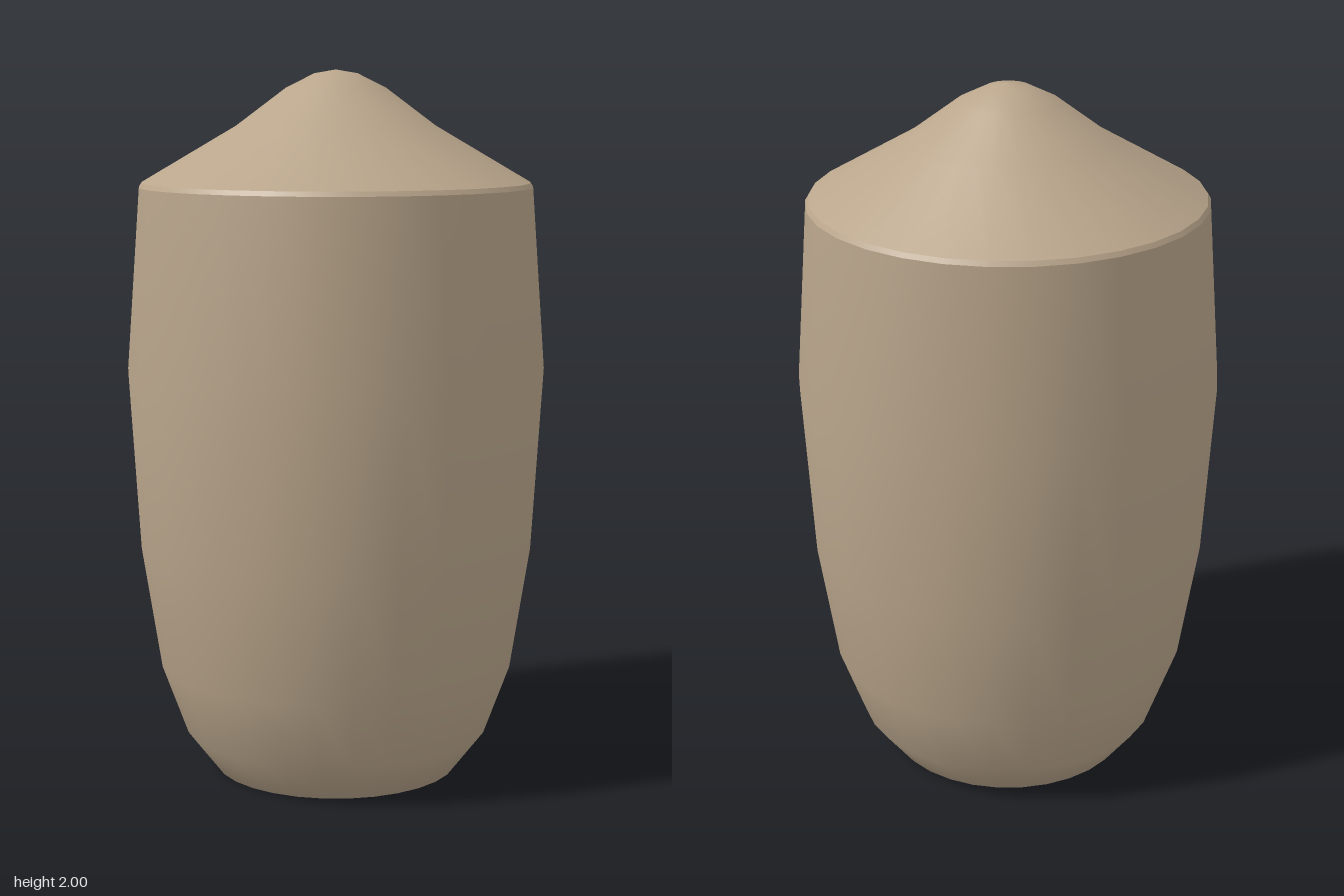
import * as THREE from 'three';

const SIDES = 30;

export function createModel() {
  const model = new THREE.Group();
  model.name = 'jar';

  const clay = new THREE.MeshStandardMaterial({ color: 0xb9a58b });
  clay.name = 'tan clay';

  // Smooth turned part; a corner lies on the x axis, a flat on the z axis
  function turned(name, profile) {
    const points = profile.map(([r, y]) => new THREE.Vector2(r, y));
    const geometry = new THREE.LatheGeometry(points, SIDES, Math.PI / 2);
    const mesh = new THREE.Mesh(geometry, clay);
    mesh.name = name;
    model.add(mesh);
  }

  // Closed base running softly into the bulging wall
  turned('body', [
    [0, 0], [0.22, 0], [0.35, 0], [0.435, 0.11], [0.508, 0.31],
    [0.563, 0.66], [0.593, 1.16], [0.555, 1.675],
  ]);

  // Narrow bevel that separates wall and lid
  turned('rim', [[0.555, 1.675], [0.547, 1.688]]);

  // Flared conical lid with a rounded tip
  turned('lid', [
    [0.547, 1.688], [0.28, 1.845], [0.14, 1.95], [0.06, 1.99], [0, 2],
  ]);

  return model;
}
